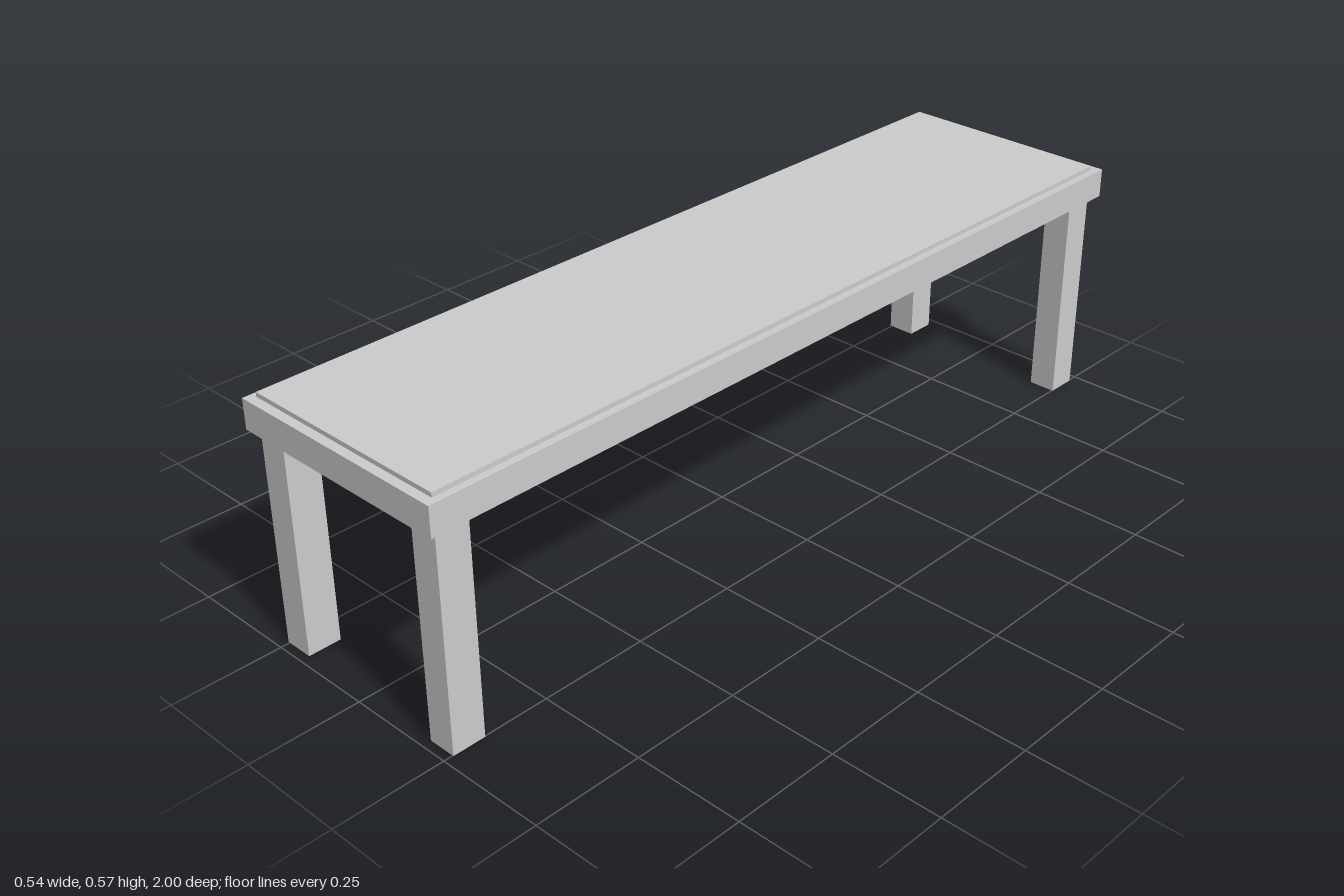
import * as THREE from 'three';

const material = new THREE.MeshStandardMaterial({ color: 0xcccccc, flatShading: true });

// Box given by its extents along each axis
function block(name, [x0, x1], [y0, y1], [z0, z1]) {
  const mesh = new THREE.Mesh(new THREE.BoxGeometry(x1 - x0, y1 - y0, z1 - z0), material);
  mesh.name = name;
  mesh.position.set((x0 + x1) / 2, (y0 + y1) / 2, (z0 + z1) / 2);
  return mesh;
}

export function createModel() {
  const bench = new THREE.Group();
  bench.name = 'bench';

  // Thick slab with a thin raised panel on top
  bench.add(block('seatSlab', [-0.269, 0.269], [0.489, 0.556], [-1, 1]));
  bench.add(block('seatPanel', [-0.254, 0.252], [0.556, 0.566], [-0.976, 0.979]));

  // Four square legs, flush with the panel edges
  const sides = { Right: [-0.254, -0.186], Left: [0.1875, 0.252] };
  const ends = { front: [0.903, 0.979], back: [-0.976, -0.904] };
  for (const [end, z] of Object.entries(ends)) {
    for (const [side, x] of Object.entries(sides)) {
      bench.add(block(`${end}${side}Leg`, x, [0, 0.489], z));
    }
  }
  return bench;
}
